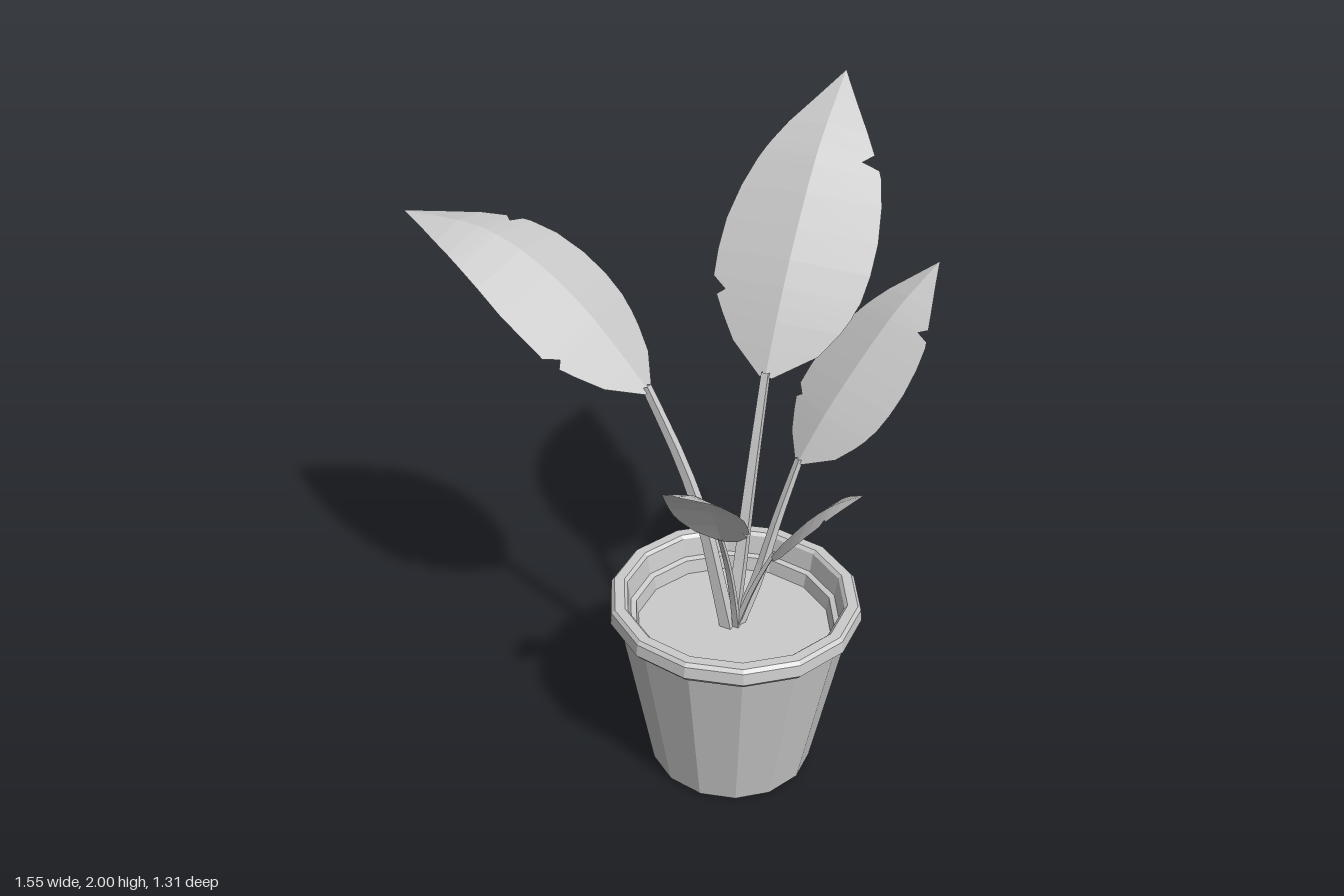
import * as THREE from 'three';

const grey = new THREE.MeshStandardMaterial({ color: 0xcccccc, flatShading: true });
const leafGrey = new THREE.MeshStandardMaterial({ color: 0xcccccc, flatShading: true, side: THREE.DoubleSide });

const POT_X = 0.355, POT_Z = 0.18;

// Blade outline for a unit leaf: position along midrib, right and left half widths (with two tears)
const OUTLINE = [
  [0, 0.02, 0.02], [0.09, 0.14, 0.13], [0.17, 0.19, 0.185], [0.22, 0.213, 0.215],
  [0.24, 0.218, 0.19], [0.275, 0.23, 0.238], [0.36, 0.24, 0.243], [0.46, 0.24, 0.24],
  [0.57, 0.225, 0.218], [0.66, 0.202, 0.19], [0.685, 0.19, 0.18], [0.7, 0.135, 0.174],
  [0.73, 0.165, 0.16], [0.8, 0.125, 0.125], [0.9, 0.062, 0.062], [1, 0, 0],
];

// Surface through equal-length rows of points
function gridGeometry(rows) {
  const n = rows[0].length, index = [];
  for (let i = 0; i < rows.length - 1; i++) {
    for (let j = 0; j < n - 1; j++) {
      const a = i * n + j, b = a + 1, c = a + n, d = c + 1;
      index.push(a, b, c, b, d, c);
    }
  }
  const geo = new THREE.BufferGeometry().setFromPoints(rows.flat());
  geo.setIndex(index);
  geo.computeVertexNormals();
  return geo;
}

// Curve given as [reach, height] pairs, lying in the leaf's own vertical plane
const planeCurve = (pts) => new THREE.CatmullRomCurve3(pts.map(([r, y]) => new THREE.Vector3(0, y, -r)));

function frameAt(curve, t) {
  const tangent = curve.getTangentAt(t);
  const side = new THREE.Vector3(1, 0, 0);
  return { p: curve.getPointAt(t), side, up: side.clone().cross(tangent).normalize() };
}

// Folded blade whose edges droop below the midrib
function bladeGeometry(curve, scale) {
  return gridGeometry(OUTLINE.map(([t, right, left]) => {
    const { p, side, up } = frameAt(curve, t);
    const edge = (w, s) => p.clone().addScaledVector(side, s * w * scale).addScaledVector(up, -0.18 * w * scale);
    return [edge(left, -1), p, edge(right, 1)];
  }));
}

// Tapered four-sided stalk
function stemGeometry(curve, r0, r1) {
  const rows = [];
  for (let i = 0; i <= 8; i++) {
    const { p, side, up } = frameAt(curve, i / 8);
    const r = THREE.MathUtils.lerp(r0, r1, i / 8), ring = [];
    for (let k = 0; k <= 4; k++) {
      const a = (k + 0.5) * Math.PI / 2;
      ring.push(p.clone().addScaledVector(side, r * Math.cos(a)).addScaledVector(up, r * Math.sin(a)));
    }
    rows.push(ring);
  }
  return gridGeometry(rows);
}

// dir: horizontal heading [x, z]; at: where the stalk leaves the soil
const LEAVES = [
  { name: 'backLeaf', dir: [0, -1], at: [0.345, 0.175], scale: 1, stemR: 0.026,
    stem: [[0, 0.48], [0.045, 0.62], [0.13, 0.94], [0.225, 1.26]],
    blade: [[0.22, 1.245], [0.31, 1.42], [0.43, 1.61], [0.615, 1.835], [0.835, 2.0]] },
  { name: 'rightLeaf', dir: [-1, -0.065], at: [0.34, 0.19], scale: 1, stemR: 0.026,
    stem: [[0, 0.48], [0.033, 0.617], [0.09, 0.84], [0.17, 1.04], [0.285, 1.26]],
    blade: [[0.275, 1.245], [0.38, 1.36], [0.515, 1.49], [0.7, 1.61], [0.86, 1.655], [1.11, 1.65]] },
  { name: 'backLeftLeaf', dir: [0.385, -0.62], at: [0.355, 0.175], scale: 0.77, stemR: 0.021,
    stem: [[0.01, 0.48], [0.08, 0.62], [0.15, 0.82], [0.225, 1.01]],
    blade: [[0.22, 1.0], [0.32, 1.14], [0.45, 1.29], [0.58, 1.42], [0.73, 1.53]] },
  { name: 'frontLeaf', dir: [0, 1], at: [0.365, 0.18], scale: 0.5, stemR: 0.014,
    stem: [[0, 0.48], [0.037, 0.62], [0.09, 0.77], [0.155, 0.91]],
    blade: [[0.15, 0.9], [0.2, 0.99], [0.275, 1.105], [0.37, 1.185], [0.475, 1.24]] },
  { name: 'leftLeaf', dir: [1, 0.08], at: [0.36, 0.18], scale: 0.45, stemR: 0.013,
    stem: [[0, 0.48], [0.045, 0.62], [0.08, 0.71], [0.12, 0.8]],
    blade: [[0.115, 0.79], [0.15, 0.845], [0.23, 0.955], [0.3, 1.025], [0.39, 1.087]] },
];

export function createModel() {
  const model = new THREE.Group();
  model.name = 'pottedPlant';

  const lathe = (name, pts) => {
    const mesh = new THREE.Mesh(
      new THREE.LatheGeometry(pts.map(([x, y]) => new THREE.Vector2(x, y)), 14), grey);
    mesh.name = name;
    mesh.position.set(POT_X, 0, POT_Z);
    model.add(mesh);
  };

  // Pot: tapered wall, rolled rim, stepped inner wall
  lathe('pot', [
    [0, 0], [0.247, 0], [0.254, 0.01], [0.36, 0.548], [0.375, 0.548], [0.39, 0.565],
    [0.386, 0.602], [0.376, 0.613], [0.345, 0.613], [0.335, 0.603], [0.325, 0.54],
    [0.308, 0.535], [0.296, 0.46],
  ]);
  lathe('soil', [[0.302, 0.49], [0, 0.49]]);

  // Leaves: each a stalk and a blade turned to its heading
  for (const { name, dir, at, scale, stemR, stem, blade } of LEAVES) {
    const leaf = new THREE.Group();
    leaf.name = name;
    const stalk = new THREE.Mesh(stemGeometry(planeCurve(stem), stemR, stemR * 0.6), leafGrey);
    stalk.name = 'stem';
    const face = new THREE.Mesh(bladeGeometry(planeCurve(blade), scale), leafGrey);
    face.name = 'blade';
    leaf.add(stalk, face);
    leaf.position.set(at[0], 0, at[1]);
    leaf.rotation.y = Math.atan2(-dir[0], -dir[1]);
    model.add(leaf);
  }
  return model;
}
